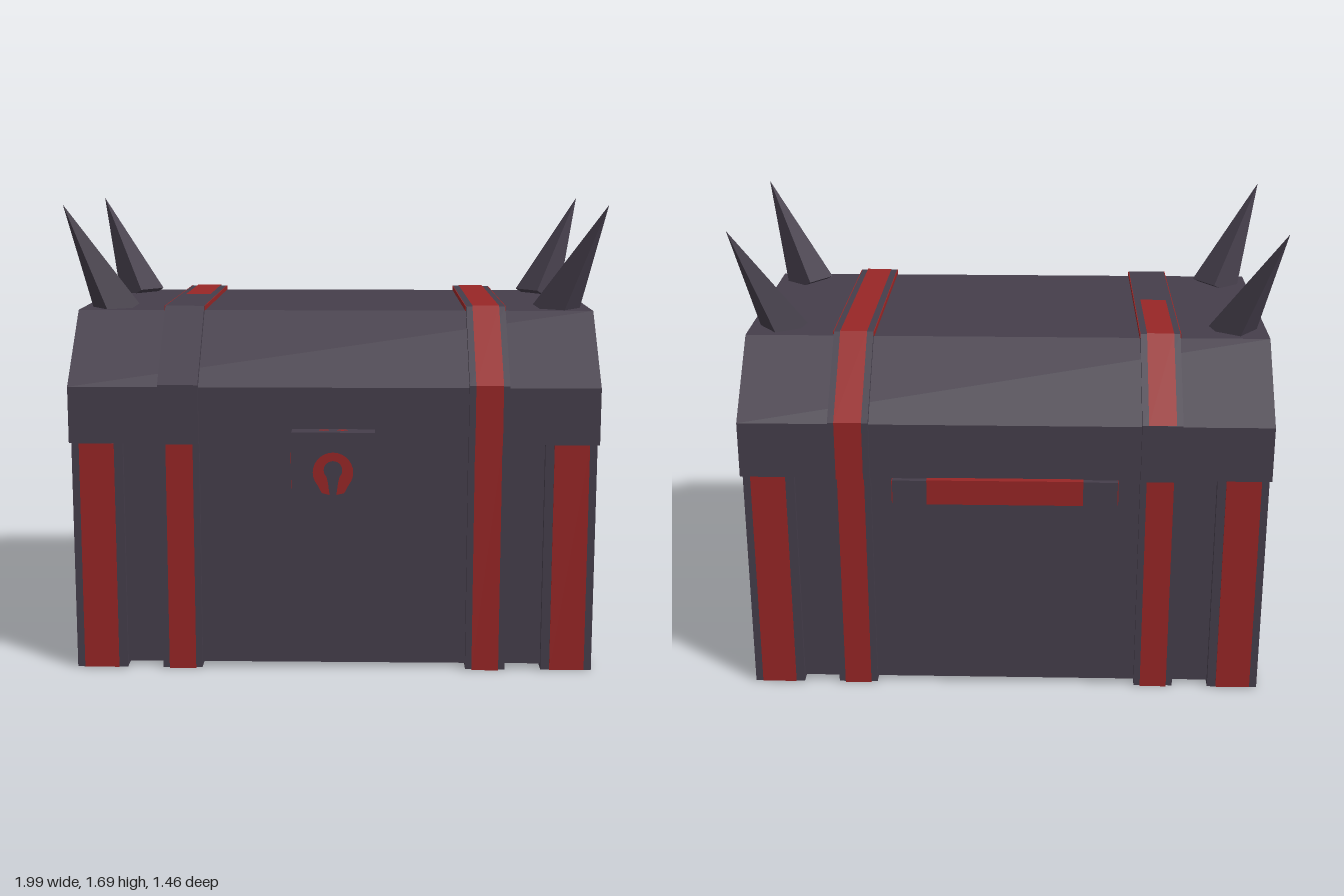
import * as THREE from 'three';

const grey = new THREE.MeshStandardMaterial({ color: 0x453e4b });
grey.name = 'charcoal';
const red = new THREE.MeshStandardMaterial({ color: 0x982626, side: THREE.DoubleSide });
red.name = 'darkRed';

const T = 0.003; // paint thickness

export function createModel() {
  const group = new THREE.Group();

  function add(name, geo, mat) {
    const mesh = new THREE.Mesh(geo, mat);
    mesh.name = name;
    group.add(mesh);
    return mesh;
  }
  // box given by its limits on each axis
  function box(name, mat, x0, x1, y0, y1, z0, z1) {
    const mesh = add(name, new THREE.BoxGeometry(x1 - x0, y1 - y0, z1 - z0), mat);
    mesh.position.set((x0 + x1) / 2, (y0 + y1) / 2, (z0 + z1) / 2);
    return mesh;
  }
  // prism along x from a [z, y] profile
  function prism(name, profile, x0, x1) {
    const shape = new THREE.Shape(profile.map(([z, y]) => new THREE.Vector2(-z, y)));
    const geo = new THREE.ExtrudeGeometry(shape, { depth: x1 - x0, bevelEnabled: false });
    geo.rotateY(Math.PI / 2).translate(x0, 0, 0);
    return add(name, geo, grey);
  }
  // painted strip of width x0..x1 following [z, y] points
  function ribbon(name, pts, x0, x1) {
    const pos = [];
    for (let i = 0; i < pts.length - 1; i++) {
      const [z0, y0] = pts[i], [z1, y1] = pts[i + 1];
      pos.push(x0, y0, z0, x1, y0, z0, x1, y1, z1);
      pos.push(x0, y0, z0, x1, y1, z1, x0, y1, z1);
    }
    const geo = new THREE.BufferGeometry();
    geo.setAttribute('position', new THREE.Float32BufferAttribute(pos, 3));
    geo.computeVertexNormals();
    return add(name, geo, red);
  }

  // chest body and faceted lid
  box('body', grey, -0.925, 0.925, 0.02, 0.845, -0.675, 0.63);
  prism('lid', [[0.655, 0.845], [0.655, 1.05], [0.4, 1.3], [-0.455, 1.3], [-0.705, 1.05], [-0.705, 0.845]], -0.953, 0.953);

  // corner posts with painted stripes on both outer faces and underneath
  for (const s of [-1, 1]) {
    const sx = (name, mat, a, b, ...rest) => box(name, mat, Math.min(s * a, s * b), Math.max(s * a, s * b), ...rest);
    for (const [inner, outer, d] of [[0.46, 0.65, 1], [-0.505, -0.695, -1]]) {
      const lo = Math.min(inner, outer), hi = Math.max(inner, outer);
      const sLo = lo + 0.033, sHi = hi - 0.033;
      sx('cornerPost', grey, 0.76, 0.945, T, 0.845, lo, hi);
      const face = outer + d * T;
      sx('postStripe', red, 0.792, 0.918, T, 0.843, Math.min(outer, face), Math.max(outer, face));
      sx('postSideStripe', red, 0.945, 0.945 + T, T, 0.843, sLo, sHi);
      sx('postBaseStripe', red, 0.792, 0.918, 0, T, sLo, sHi);
    }
  }

  // straps around body and lid
  const lidStrap = [[0.672, 0.845], [0.672, 1.06], [0.41, 1.317], [-0.46, 1.317], [-0.72, 1.06], [-0.72, 0.845]];
  const lidPaint = [[0.675, 0.845], [0.675, 1.062], [0.411, 1.32], [-0.461, 1.32], [-0.723, 1.062], [-0.723, 0.845]];
  for (const s of [-1, 1]) {
    const c = s * 0.556;
    const x0 = c - 0.072, x1 = c + 0.072, r0 = c - 0.049, r1 = c + 0.049;
    box('bodyStrap', grey, x0, x1, T, 0.845, -0.692, 0.65);
    ribbon('bodyStrapStripe', [[-0.695, 0.843], [-0.695, 0], [0.653, 0], [0.653, 0.843]], r0, r1);
    prism('lidStrap', lidStrap, x0, x1);
    // the stripe on the right strap covers only its rear part
    const pts = s > 0 ? lidPaint : [[-0.025, 1.32], ...lidPaint.slice(3, 5)];
    ribbon('lidStrapStripe', pts, r0, r1);
    // painted edges along the flat top
    box('strapEdge', red, x0 - T, x0, 1.3, 1.317, -0.46, 0.41);
    box('strapEdge', red, x1, x1 + T, 1.3, 1.317, -0.46, 0.41);
  }

  // four-sided spikes leaning out of the lid corners
  for (const s of [-1, 1]) {
    for (const [zb, zt] of [[0.29, 0.415], [-0.335, -0.465]]) {
      const base = new THREE.Vector3(s * 0.825, 1.285, zb);
      const tip = new THREE.Vector3(s * 0.997, 1.688, zt);
      const axis = tip.clone().sub(base);
      const len = axis.length();
      axis.normalize();
      const side = new THREE.Vector3(axis.z, 0, -axis.x).normalize();
      const third = new THREE.Vector3().crossVectors(side, axis);
      const geo = new THREE.ConeGeometry(0.092, len, 4).toNonIndexed();
      geo.rotateY(Math.PI / 4).translate(0, len / 2, 0);
      geo.applyMatrix4(new THREE.Matrix4().makeBasis(side, axis, third).setPosition(base));
      geo.computeVertexNormals();
      add('spike', geo, grey);
    }
  }

  // lock plate with a painted horseshoe
  box('lock', grey, -0.148, 0.148, 0.533, 0.9, 0.62, 0.724);
  const shoe = new THREE.Shape();
  shoe.moveTo(-0.012, 0.675);
  shoe.lineTo(-0.04, 0.682);
  shoe.absarc(0, 0.757, 0.072, Math.PI * 1.22, -Math.PI * 0.22, true);
  shoe.lineTo(0.04, 0.682);
  shoe.lineTo(0.012, 0.675);
  shoe.lineTo(0.018, 0.72);
  shoe.absarc(0, 0.765, 0.033, -Math.PI * 0.25, Math.PI * 1.25, false);
  shoe.lineTo(-0.018, 0.72);
  add('lockHorseshoe', new THREE.ShapeGeometry(shoe, 10), red).position.z = 0.727;
  // painted dots on the sides and top of the lock
  const dot = (x, y, z, rx, rz) => {
    const m = add('lockDot', new THREE.CircleGeometry(1, 8), red);
    m.position.set(x, y, z);
    return m;
  };
  for (const s of [-1, 1]) {
    for (const [y, r] of [[0.803, 0.026], [0.703, 0.02]]) {
      const m = dot(s * 0.151, y, 0.69);
      m.rotation.y = s * Math.PI / 2;
      m.scale.set(0.02, r, 1);
    }
    const top = dot(s * 0.033, 0.903, 0.69);
    top.rotation.x = -Math.PI / 2;
    top.scale.set(0.02, 0.013, 1);
  }

  // bar handle on the back with painted middle and ends
  box('backHandle', grey, -0.403, 0.403, 0.755, 0.845, -0.727, -0.67);
  box('handleStripe', red, -0.28, 0.28, 0.755, 0.848, -0.73, -0.7);
  for (const s of [-1, 1]) {
    box('handleEnd', red, s * 0.4045 - 0.0015, s * 0.4045 + 0.0015, 0.757, 0.843, -0.725, -0.695);
  }

  return group;
}
